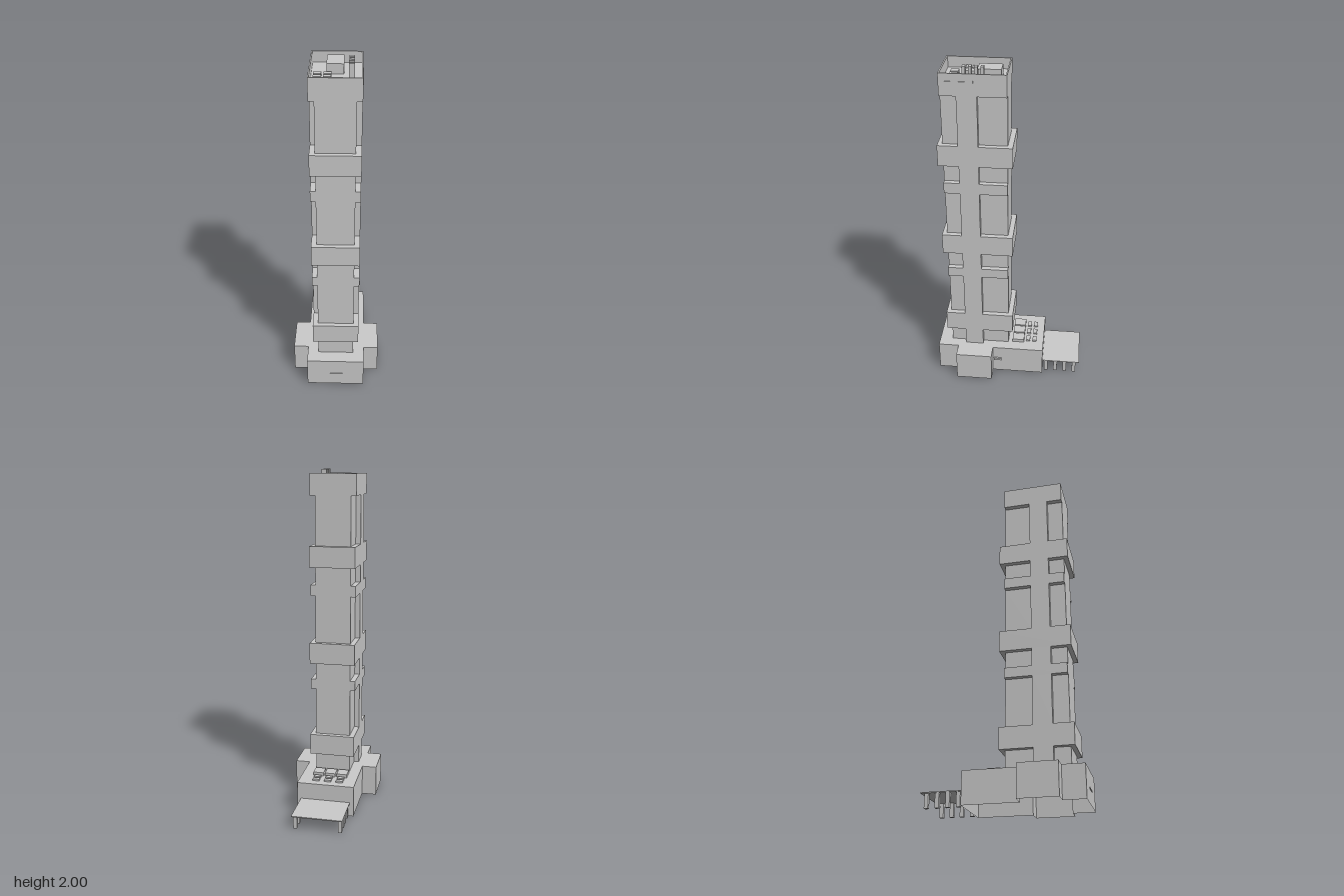
import * as THREE from 'three';

const grey = new THREE.MeshStandardMaterial({ color: 0xcccccc, flatShading: true, side: THREE.DoubleSide });

export function createModel() {
  const model = new THREE.Group();

  const add = (name, geometry) => {
    const mesh = new THREE.Mesh(geometry, grey);
    mesh.name = name;
    model.add(mesh);
    return mesh;
  };
  // Box given by its limits on each axis
  const box = (name, x0, x1, y0, y1, z0, z1) => {
    add(name, new THREE.BoxGeometry(x1 - x0, y1 - y0, z1 - z0))
      .position.set((x0 + x1) / 2, (y0 + y1) / 2, (z0 + z1) / 2);
  };
  const rect = (x0, x1, z0, z1) => [[x0, z0], [x1, z0], [x1, z1], [x0, z1]];
  // Cross-shaped plan: a main rectangle with a wing on each side
  const cross = (x, z0, z1, wingX, wing0, wing1) => [
    [-x, z0], [x, z0], [x, wing0], [wingX, wing0], [wingX, wing1], [x, wing1],
    [x, z1], [-x, z1], [-x, wing1], [-wingX, wing1], [-wingX, wing0], [-x, wing0],
  ];
  // Plans are drawn in x and -z so that they stand upright after the turn
  const points = (plan) => plan.map(([x, z]) => new THREE.Vector2(x, -z));
  const prism = (name, plan, y0, y1, hole) => {
    const shape = new THREE.Shape(points(plan));
    if (hole) shape.holes.push(new THREE.Path(points(hole)));
    const geo = new THREE.ExtrudeGeometry(shape, { depth: y1 - y0, bevelEnabled: false });
    add(name, geo.rotateX(-Math.PI / 2).translate(0, y0, 0));
  };

  // Podium: walls and roof, open underneath
  const podium = cross(0.17, -0.215, 0.445, 0.257, 0.1, 0.32);
  const podiumTop = 0.185;
  const corners = [];
  podium.forEach(([x, z], i) => {
    const [u, w] = podium[(i + 1) % podium.length];
    corners.push(x, 0, z, x, podiumTop, z, u, podiumTop, w, x, 0, z, u, podiumTop, w, u, 0, w);
  });
  const walls = new THREE.BufferGeometry();
  walls.setAttribute('position', new THREE.Float32BufferAttribute(corners, 3));
  walls.computeVertexNormals();
  // Turn the walls outward
  if (walls.attributes.normal.getZ(0) > 0) {
    const p = walls.attributes.position;
    for (let i = 0; i < p.count; i += 3) {
      const a = new THREE.Vector3().fromBufferAttribute(p, i);
      const b = new THREE.Vector3().fromBufferAttribute(p, i + 1);
      p.setXYZ(i, b.x, b.y, b.z);
      p.setXYZ(i + 1, a.x, a.y, a.z);
    }
    walls.computeVertexNormals();
  }
  add('podiumWalls', walls);
  add('podiumRoof', new THREE.ShapeGeometry(new THREE.Shape(points(podium)))
    .rotateX(-Math.PI / 2).translate(0, podiumTop, 0));
  box('frontPlaque', -0.045, 0.045, 0.08, 0.088, 0.445, 0.448);
  box('sideBox', 0.17, 0.18, 0.09, 0.105, 0.045, 0.093);

  // Tower: recessed shafts between projecting bands and flush ledges
  const z0 = 0.007, z1 = 0.365;
  const shaft = cross(0.105, z0, z1, 0.135, 0.165, 0.275);
  const ledge = rect(-0.135, 0.135, z0, z1);
  const band = rect(-0.135, 0.135, -0.022, 0.391);
  [
    ['shaft', shaft, 0.185, 0.295], ['band', band, 0.295, 0.42],
    ['shaft', shaft, 0.42, 0.705], ['ledge', ledge, 0.705, 0.765],
    ['shaft', shaft, 0.765, 0.87], ['band', band, 0.87, 0.995],
    ['shaft', shaft, 0.995, 1.275], ['ledge', ledge, 1.275, 1.34],
    ['shaft', shaft, 1.34, 1.445], ['band', band, 1.445, 1.567],
    ['shaft', shaft, 1.567, 1.853], ['crown', ledge, 1.853, 1.915],
  ].forEach((level) => prism(...level));
  prism('parapet', ledge, 1.915, 1.976, rect(-0.128, 0.128, 0.014, 0.357));
  box('crownRail', 0.135, 0.138, 1.928, 1.934, 0.185, 0.335);
  box('crownRailEnd', 0.135, 0.138, 1.928, 1.956, 0.183, 0.188);

  // Rooftop equipment
  box('roofHouse', -0.05, 0.039, 1.915, 1.97, 0.046, 0.172);
  for (let i = 0; i < 4; i++) {
    const z = 0.131 + i * 0.0325;
    box('chimney', 0.064, 0.093, 1.915, 2, z, z + 0.017);
  }
  for (const x of [-0.115, -0.064])
    for (const z of [0.191, 0.228]) box('smallRoofUnit', x, x + 0.04, 1.915, 1.935, z, z + 0.024);
  for (const x of [-0.036, 0.014, 0.064]) box('roofUnit', x, x + 0.038, 1.915, 1.94, 0.279, 0.322);

  // Equipment on the podium roof
  for (const x of [-0.106, -0.034, 0.038]) box('podiumUnit', x, x + 0.062, 0.185, 0.205, -0.092, -0.02);
  for (const x of [-0.095, -0.024, 0.047])
    for (const z of [-0.17, -0.13]) box('smallPodiumUnit', x, x + 0.041, 0.185, 0.196, z, z + 0.024);

  // Rear canopy on two rows of posts
  box('canopy', -0.148, 0.148, 0.08, 0.086, -0.448, -0.215);
  for (const x of [-0.13, 0.13])
    for (let i = 0; i < 4; i++) {
      const z = -0.238 - i * 0.0593;
      box('canopyPost', x - 0.011, x + 0.011, 0, 0.08, z - 0.011, z + 0.011);
    }

  return model;
}
